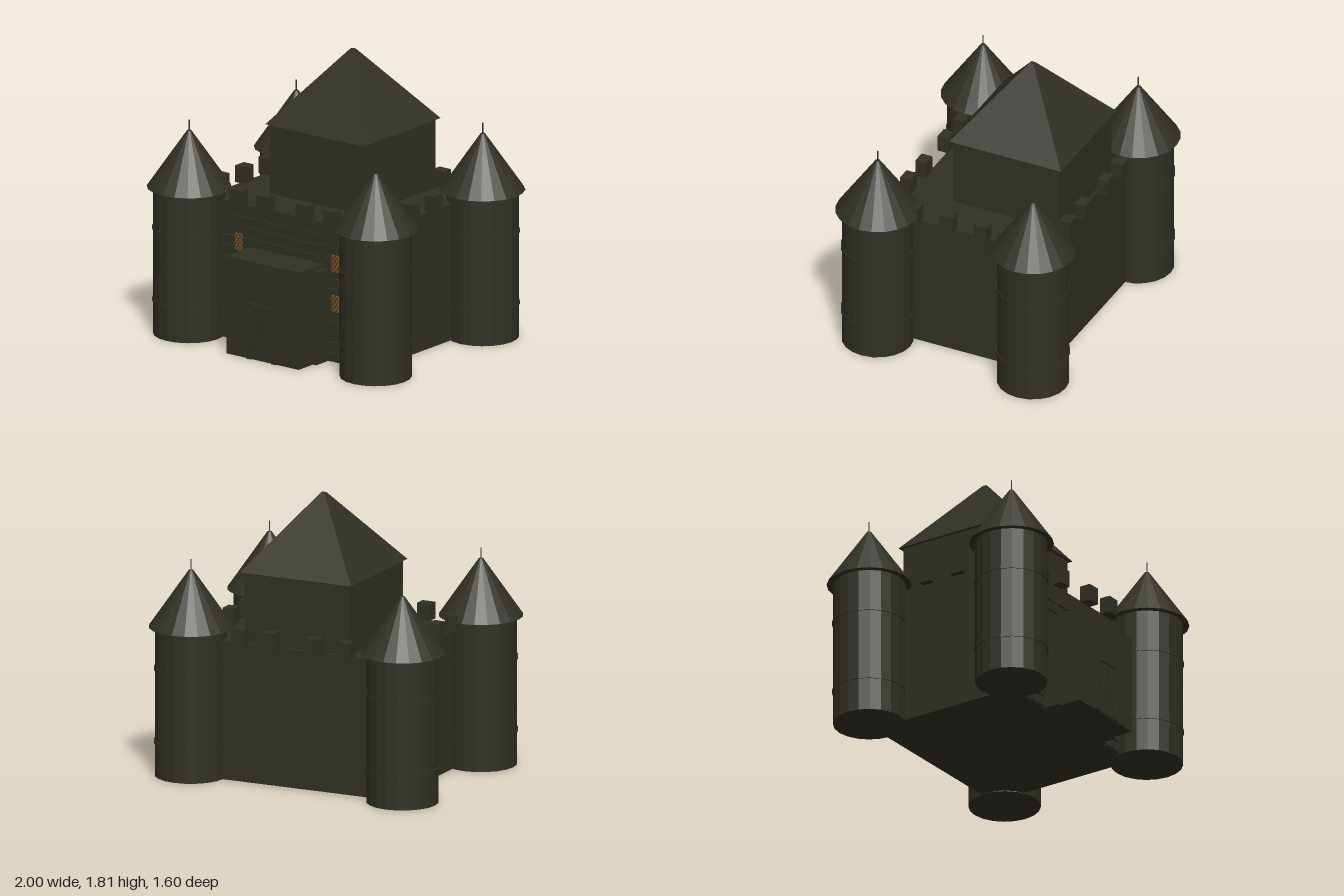
import * as THREE from 'three';

export function createModel() {
  const castle = new THREE.Group();
  castle.name = 'castle';
  const stone = new THREE.MeshStandardMaterial({ color: 0x313025, flatShading: true });
  stone.name = 'darkStone';
  const glow = new THREE.MeshStandardMaterial({ color: 0x95581f });
  glow.name = 'amberGlass';

  const add = (parent, name, geometry, x, y, z, material = stone) => {
    const mesh = new THREE.Mesh(geometry, material);
    mesh.name = name;
    mesh.position.set(x, y, z);
    parent.add(mesh);
    return mesh;
  };
  // box given by its min and max on each axis
  const box = (parent, name, x0, x1, y0, y1, z0, z1, material) =>
    add(parent, name, new THREE.BoxGeometry(x1 - x0, y1 - y0, z1 - z0),
      (x0 + x1) / 2, (y0 + y1) / 2, (z0 + z1) / 2, material);
  // thin bar between two points in the front plane
  const bar = (parent, name, x0, y0, x1, y1, z, width, depth) => {
    const length = Math.hypot(x1 - x0, y1 - y0);
    const mesh = add(parent, name, new THREE.BoxGeometry(length, width, depth), (x0 + x1) / 2, (y0 + y1) / 2, z);
    mesh.rotation.z = Math.atan2(y1 - y0, x1 - x0);
  };
  const group = (name, parent = castle) => {
    const g = new THREE.Group();
    g.name = name;
    parent.add(g);
    return g;
  };
  let seed = 7;
  const random = () => (seed = (seed * 16807) % 2147483647) / 2147483647;

  // main block and keep
  box(castle, 'mainBlock', -0.65, 0.65, 0.005, 0.89, -0.56, 0.48);
  box(castle, 'keep', -0.365, 0.365, 0.89, 1.345, -0.535, 0.195);
  const roof = new THREE.CylinderGeometry(0.018, 0.387 * Math.SQRT2, 0.47, 4);
  roof.rotateY(Math.PI / 4);
  add(castle, 'keepRoof', roof, 0, 1.575, -0.17);

  // battlements around the wall top
  const battlements = group('battlements');
  for (const x of [-0.37, -0.158, 0.153, 0.365]) {
    box(battlements, 'frontMerlon', x - 0.045, x + 0.045, 0.888, 0.995, 0.47, 0.543);
    box(battlements, 'backMerlon', x - 0.045, x + 0.045, 0.888, 0.995, -0.632, -0.558);
  }
  for (const z of [-0.385, -0.147, 0.088, 0.325]) {
    for (const side of [-1, 1]) {
      add(battlements, 'sideMerlon', new THREE.BoxGeometry(0.075, 0.107, 0.09), side * 0.655, 0.9415, z);
    }
  }

  // corner towers
  for (const sx of [-1, 1]) {
    for (const sz of [-1, 1]) {
      const tower = group('tower');
      tower.position.set(sx * 0.735, 0, sz * 0.537);
      add(tower, 'towerWall', new THREE.CylinderGeometry(0.225, 0.225, 0.955, 20), 0, 0.4775, 0);
      add(tower, 'towerRoof', new THREE.CylinderGeometry(0.014, 0.264, 0.362, 20), 0, 1.131, 0);
      add(tower, 'spire', new THREE.CylinderGeometry(0.004, 0.004, 0.08, 6), 0, 1.34, 0);
      for (const y of [0.22, 0.686]) {
        add(tower, 'band', new THREE.CylinderGeometry(0.231, 0.231, 0.018, 20), 0, y, 0);
      }
      if (sz > 0) box(tower, 'arrowSlit', -0.008, 0.008, 0.42, 0.53, 0.215, 0.231);
    }
  }

  // brick facing on the front wall, left out behind the porch and windows
  const bricks = group('bricks');
  const courses = 12, courseHeight = 0.82 / courses, gap = 0.009;
  const windowRows = [0.385, 0.645];
  for (let row = 0; row < courses; row++) {
    const y0 = row * courseHeight + gap, y1 = (row + 1) * courseHeight;
    const aboveDoor = y0 > 0.62;
    const besideWindow = windowRows.some((y) => y0 < y + 0.055 && y1 > y - 0.055);
    let spans = aboveDoor ? [[-0.51, 0.51]] : [[-0.51, -0.29], [0.29, 0.51]];
    if (besideWindow) {
      spans = spans.flatMap(([a, b]) => {
        const cuts = [-0.38, 0.38].filter((w) => w > a && w < b);
        const edges = [a, ...cuts.flatMap((w) => [w - 0.03, w + 0.03]), b];
        const parts = [];
        for (let i = 0; i < edges.length; i += 2) parts.push([edges[i], edges[i + 1]]);
        return parts;
      });
    }
    for (const [a, b] of spans) {
      let x = a;
      while (x < b - 0.02) {
        let next = x + 0.055 + random() * 0.04;
        if (b - next < 0.035) next = b;
        box(bricks, 'brick', x + gap / 2, next - gap / 2, y0, y1 - random() * 0.006, 0.475, 0.49 + random() * 0.01);
        x = next;
      }
    }
  }

  // leaded windows
  for (const x of [-0.38, 0.38]) {
    for (const y of windowRows) {
      const pane = group('window');
      pane.position.set(x, y, 0.49);
      box(pane, 'glass', -0.027, 0.027, -0.054, 0.054, -0.004, 0.004, glow);
      const w = 0.027, h = 0.036;
      for (let i = 0; i < 2; i++) {
        for (let j = 0; j < 3; j++) {
          const cx = -w + i * w, cy = -0.054 + j * h;
          bar(pane, 'lattice', cx, cy, cx + w, cy + h, 0.005, 0.004, 0.004);
          bar(pane, 'lattice', cx, cy + h, cx + w, cy, 0.005, 0.004, 0.004);
        }
      }
    }
  }

  // gatehouse porch with its stepped side piers
  const porch = group('gatehouse');
  box(porch, 'porch', -0.285, 0.285, 0, 0.63, 0.47, 0.737);
  for (const side of [-1, 1]) {
    add(porch, 'pier', new THREE.BoxGeometry(0.03, 0.6, 0.12), side * 0.296, 0.3, 0.535);
  }

  // double door with frame and braces
  const door = group('door', porch);
  box(door, 'doorLeaves', -0.08, 0.08, 0.003, 0.35, 0.735, 0.743);
  box(door, 'lintel', -0.115, 0.115, 0.348, 0.362, 0.735, 0.755);
  for (const side of [-1, 1]) {
    add(door, 'doorPost', new THREE.BoxGeometry(0.035, 0.346, 0.018), side * 0.0975, 0.175, 0.745);
    bar(door, 'brace', side * 0.074, 0.015, side * 0.008, 0.335, 0.744, 0.008, 0.01);
  }
  box(door, 'doorSeam', -0.004, 0.004, 0.003, 0.348, 0.737, 0.75);
  return castle;
}
